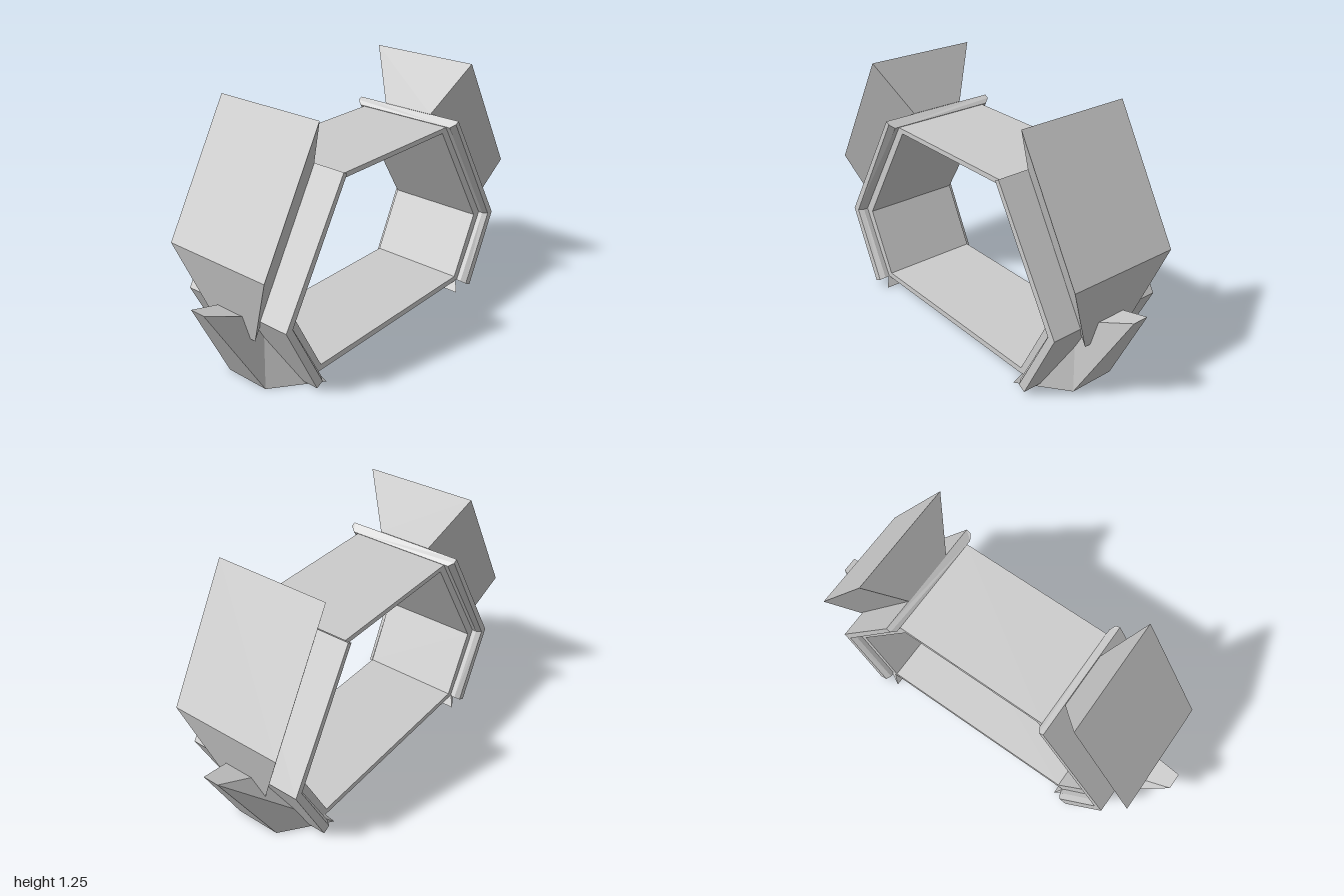
import * as THREE from 'three';

const material = new THREE.MeshStandardMaterial({ color: 0xcccccc, flatShading: true });

// Solid lofted through loops of [x, y, z]; each end cap fans out from a chosen corner
function loft(loops, capStart = [0, 0]) {
  const n = loops[0].length, tris = [];
  for (let s = 0; s < loops.length - 1; s++) {
    for (let i = 0; i < n; i++) {
      const j = (i + 1) % n, a = loops[s], b = loops[s + 1];
      tris.push([a[i], b[i], b[j]], [a[i], b[j], a[j]]);
    }
  }
  const cap = (loop, k, flip) => {
    for (let i = 1; i < n - 1; i++) {
      const t = [loop[k], loop[(k + i) % n], loop[(k + i + 1) % n]];
      tris.push(flip ? t.reverse() : t);
    }
  };
  cap(loops[0], capStart[0], false);
  cap(loops[loops.length - 1], capStart[1], true);

  // Turn all faces outward, whichever side the solid is built on
  const v = (p) => new THREE.Vector3(...p);
  const volume = tris.reduce((sum, [a, b, c]) => sum + v(a).dot(v(b).cross(v(c))), 0);
  if (volume < 0) tris.forEach((t) => t.reverse());

  const geometry = new THREE.BufferGeometry();
  geometry.setAttribute('position', new THREE.Float32BufferAttribute(tris.flat(2), 3));
  geometry.computeVertexNormals();
  return geometry;
}

export function createModel() {
  const group = new THREE.Group();
  const add = (name, geometry, x = 0) => {
    const mesh = new THREE.Mesh(geometry, material);
    mesh.name = name;
    mesh.position.x = x;
    group.add(mesh);
  };

  // Hexagonal tube, open front to back; the hole runs against the outline
  const hexagon = (half) => [...half, ...half.map(([x, y]) => [-x, y]).reverse()]
    .map(([x, y]) => new THREE.Vector2(x, y));
  const shape = new THREE.Shape(hexagon([[0.39, 0.967], [0.745, 0.392], [0.56, 0.051]]).reverse());
  shape.holes.push(new THREE.Path(hexagon([[0.362, 0.943], [0.693, 0.392], [0.535, 0.08]])));
  const tube = new THREE.ExtrudeGeometry(shape, { depth: 0.514, bevelEnabled: false });
  tube.translate(0, 0, -0.257);
  add('hexagonalFrame', tube, 0.008);

  for (const [side, s] of [['left', 1], ['right', -1]]) {
    // Bent side band with chamfered inner edges: inner, middle and outer point per station
    const stations = [
      [[0.388, 0.97], [0.404, 0.988], [0.425, 1.0]],
      [[0.742, 0.392], [0.757, 0.391], [0.797, 0.388]],
      [[0.562, 0.048], [0.578, 0.035], [0.615, 0.016]],
    ];
    const depths = [0.28, 0.305, 0.305];
    add(side + 'SideBand', loft(stations.map((station) => {
      const front = station.map(([x, y], i) => [s * x, y, depths[i]]);
      return [...front, ...front.map(([x, y, z]) => [x, y, -z]).reverse()];
    })), 0.008);

    // Tapered fins: corners of the front side, repeated for the back
    const fin = (name, corners, capStart, x) => {
      const loop = (d) => corners.map(([px, y, z]) => [s * px, y, d * z]);
      add(name, loft([loop(1), loop(-1)], capStart), x);
    };
    fin(side + 'UpperFin', [
      [0.547, 1.255, 0.287], [0.889, 0.66, 0.287], [0.8, 0.28, 0.12], [0.425, 1.0, 0.14],
    ], [0, 0], 0.005);
    fin(side + 'LowerFin', [
      [1, 0.47, 0.04], [0.745, 0, 0.117], [0.525, 0, 0.287], [0.72, 0.36, 0.1],
    ], [1, 0], 0);
  }
  return group;
}
